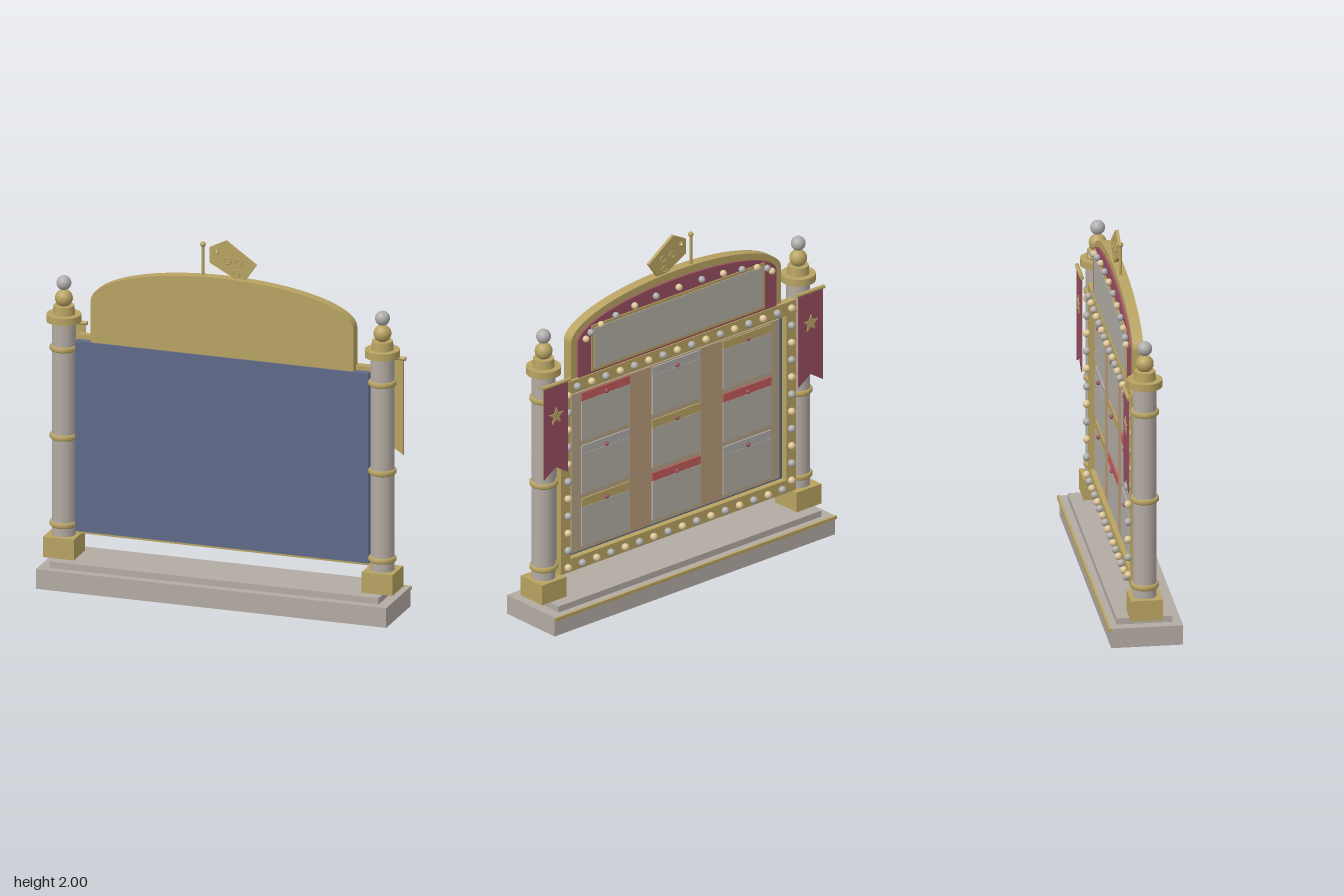
import * as THREE from 'three';

const mat = (name, color) => {
  const m = new THREE.MeshStandardMaterial({ color });
  m.name = name;
  return m;
};

export function createModel() {
  const gold = mat('gold', 0xb8a362);
  const stone = mat('stone', 0xb3aba3);
  const silver = mat('silver', 0xaeadab);
  const blue = mat('slate blue', 0x5f6a89);
  const maroon = mat('maroon', 0x984e60);
  const cork = mat('cork', 0xb5a386);
  const corkStrip = mat('cork strip', 0xb89a78);
  const red = mat('red', 0xc25a5a);
  const cream = mat('cream', 0xdcc597);
  const paper = mat('paper', 0xb2aea5);

  const root = new THREE.Group();
  root.name = 'noticeBoard';
  const add = (name, geo, material, x = 0, y = 0, z = 0, parent = root) => {
    const m = new THREE.Mesh(geo, material);
    m.name = name;
    m.position.set(x, y, z);
    parent.add(m);
    return m;
  };
  // Box given by its limits
  const box = (name, material, x0, x1, y0, y1, z0, z1, parent) =>
    add(name, new THREE.BoxGeometry(x1 - x0, y1 - y0, z1 - z0), material,
      (x0 + x1) / 2, (y0 + y1) / 2, (z0 + z1) / 2, parent);
  const cyl = (name, material, r, y0, y1, x, z, parent, rTop = r) =>
    add(name, new THREE.CylinderGeometry(rTop, r, y1 - y0, 32), material, x, (y0 + y1) / 2, z, parent);
  const ball = (name, material, r, x, y, z, parent) =>
    add(name, new THREE.SphereGeometry(r, 20, 14), material, x, y, z, parent);
  // Flat outline extruded from z0 to z1
  const plate = (name, material, shape, z0, z1, parent) =>
    add(name, new THREE.ExtrudeGeometry(shape, { depth: z1 - z0, bevelEnabled: false, curveSegments: 40 }),
      material, 0, 0, z0, parent);
  const polygon = (pts) => new THREE.Shape(pts.map(([x, y]) => new THREE.Vector2(x, y)));

  // Stepped base with a gold lip along the back
  box('base', stone, -0.99, 0.99, 0, 0.11, -0.187, 0.2);
  box('baseStep', stone, -0.93, 0.93, 0.11, 0.145, -0.15, 0.152);
  box('baseLip', gold, -0.995, 0.995, 0.093, 0.111, -0.2, -0.187);

  // Columns with plinth, rings, capital and finial
  const cz = 0.006;
  for (const s of [1, -1]) {
    const g = new THREE.Group();
    g.name = s > 0 ? 'leftColumn' : 'rightColumn';
    root.add(g);
    const x = s * 0.9;
    box('plinth', gold, x - 0.087, x + 0.087, 0.145, 0.26, cz - 0.087, cz + 0.087, g);
    cyl('shaft', stone, 0.064, 0.26, 1.46, x, cz, g);
    for (const y of [0.322, 0.813, 1.308]) {
      const ring = [[0.05, -0.015], [0.07, -0.015], [0.076, -0.008], [0.076, 0.008], [0.07, 0.015], [0.05, 0.015]];
      add('ring', new THREE.LatheGeometry(ring.map(([a, b]) => new THREE.Vector2(a, b)), 32), gold, x, y, cz, g);
    }
    cyl('capital', gold, 0.094, 1.455, 1.495, x, cz, g);
    cyl('neck', gold, 0.06, 1.495, 1.543, x, cz, g, 0.056);
    ball('goldFinial', gold, 0.048, x, 1.583, cz, g);
    ball('silverFinial', silver, 0.04, x, 1.668, cz, g);
  }

  // Panel, cork board and surrounding frame
  box('panel', blue, -0.83, 0.83, 0.29, 1.355, -0.02, 0.03);
  box('corkBoard', cork, -0.735, 0.735, 0.355, 1.285, -0.032, -0.02);
  for (const s of [1, -1]) {
    box('corkStrip', corkStrip, s * 0.25 - 0.078, s * 0.25 + 0.078, 0.357, 1.283, -0.035, -0.031);
    box('frameSide', gold, s * 0.797 - 0.034, s * 0.797 + 0.034, 0.34, 1.305, -0.055, -0.02);
  }
  box('frameTop', gold, -0.831, 0.831, 1.305, 1.38, -0.055, -0.012);
  box('frameBottom', gold, -0.831, 0.831, 0.265, 0.34, -0.055, -0.012);

  // Bulbs running round the frame
  const w = 1.58, h = 1.045, count = 52;
  for (let i = 0; i < count; i++) {
    let d = (i / count) * 2 * (w + h), x, y;
    if (d < w) { x = d; y = h; }
    else if ((d -= w) < h) { x = w; y = h - d; }
    else if ((d -= h) < w) { x = w - d; y = 0; }
    else { x = 0; y = d - w; }
    ball('frameBulb', i % 2 ? silver : cream, 0.021, x - w / 2, y + 0.3, -0.068);
  }

  // Nine notices with coloured header strips and pins
  const tabs = [[red, silver, gold], [silver, gold, red], [gold, red, silver]];
  tabs.forEach((row, r) => row.forEach((tab, c) => {
    const x = 0.5 - c * 0.5, y = 1.14 - r * 0.31;
    box('notice', paper, x - 0.17, x + 0.17, y - 0.14, y + 0.09, -0.042, -0.031);
    box('noticeHeader', tab, x - 0.17, x + 0.17, y + 0.09, y + 0.138, -0.04, -0.031);
    ball('pin', maroon, 0.012, x, y + 0.105, -0.046);
  }));

  // Arched header
  const arch = (a, y0, yc, b) => {
    const s = new THREE.Shape();
    s.moveTo(-a, y0);
    s.lineTo(a, y0);
    s.lineTo(a, yc);
    s.absellipse(0, yc, a, b, 0, Math.PI, false);
    s.lineTo(-a, y0);
    return s;
  };
  plate('archBody', gold, arch(0.743, 1.34, 1.59, 0.205), -0.036, 0.022);
  plate('archFace', maroon, arch(0.7, 1.375, 1.59, 0.162), -0.048, -0.036);
  box('signBorder', gold, -0.612, 0.612, 1.393, 1.662, -0.054, -0.047);
  box('signFace', paper, -0.595, 0.595, 1.41, 1.645, -0.058, -0.05);
  for (let i = 0; i < 13; i++) {
    const t = THREE.MathUtils.degToRad(5 + (170 * i) / 12);
    ball('archBulb', i % 2 ? silver : cream, 0.019, 0.66 * Math.cos(t), 1.59 + 0.115 * Math.sin(t), -0.06);
  }

  // Swallowtail banners hung behind the columns
  const star = (x, y, r) => polygon(Array.from({ length: 10 }, (_, i) => {
    const a = Math.PI / 2 + (i * Math.PI) / 5, q = i % 2 ? r * 0.42 : r;
    return [x + q * Math.cos(a), y + q * Math.sin(a)];
  }));
  for (const s of [1, -1]) {
    const g = new THREE.Group();
    g.name = s > 0 ? 'leftBanner' : 'rightBanner';
    root.add(g);
    const x = s * 0.9;
    const flag = polygon([[x - 0.086, 1.42], [x - 0.086, 0.88], [x, 0.935], [x + 0.086, 0.88], [x + 0.086, 1.42]]);
    plate('bannerLining', gold, flag, -0.091, -0.087, g);
    plate('bannerCloth', maroon, flag, -0.095, -0.091, g);
    plate('bannerStar', gold, star(x, 1.235, 0.052), -0.1, -0.095, g);
    const rod = cyl('bannerRod', gold, 0.011, 0, 0.195, x, -0.092, g);
    rod.rotation.z = Math.PI / 2;
    rod.position.y = 1.42;
  }

  // Tilted tag and its post on top of the arch
  const tz = -0.015;
  cyl('tagPost', gold, 0.008, 1.77, 1.96, -0.122, tz);
  ball('tagPostKnob', gold, 0.015, -0.122, 1.963, tz);
  const tag = polygon([[-0.082, 1.952], [0.008, 1.998], [0.182, 1.878], [0.105, 1.768], [-0.082, 1.868]]);
  const hole = new THREE.Path();
  hole.absarc(-0.045, 1.933, 0.008, 0, Math.PI * 2, true);
  tag.holes.push(hole);
  plate('tag', gold, tag, tz - 0.009, tz + 0.009);
  for (const [x, y, r] of [[-0.045, 1.933, 0.012], [0.02, 1.888, 0.018], [0.083, 1.882, 0.018], [0.07, 1.822, 0.018]]) {
    for (const s of [1, -1]) {
      add('tagRing', new THREE.TorusGeometry(r, 0.004, 8, 20), gold, x, y, tz + s * 0.009);
    }
  }
  return root;
}
